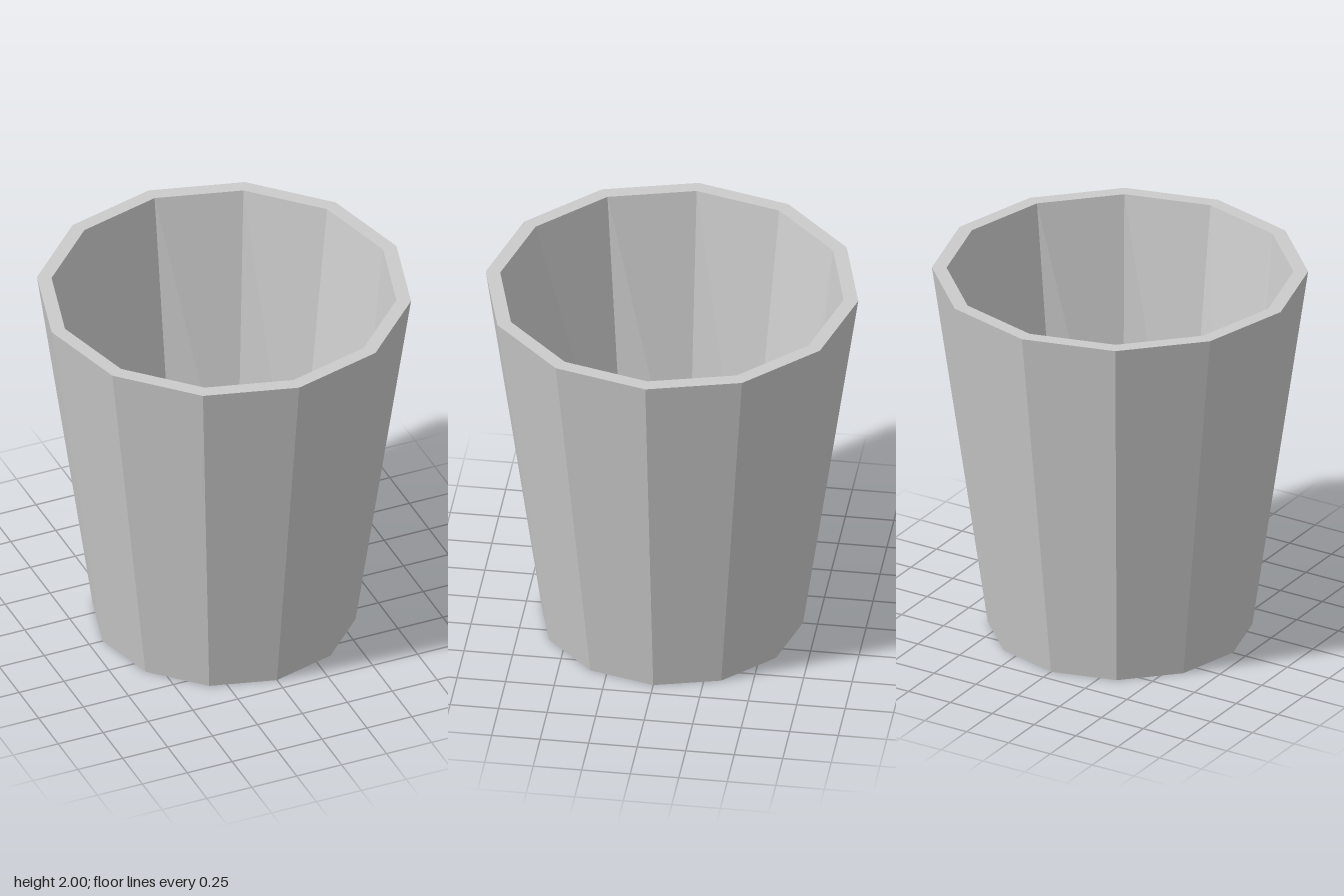
import * as THREE from 'three';

const SIDES = 12;

export function createModel() {
  const group = new THREE.Group();
  group.name = 'cup';

  // Section through the cup: underside, outer wall, rim, inner wall, floor
  const floorRing = 4;
  const profile = [[0, 0], [0.675, 0], [0.96, 2], [0.885, 2], [0.6, 0.075], [0, 0.075]]
    .map(([r, y]) => new THREE.Vector2(r, y));
  const lathe = new THREE.LatheGeometry(profile, SIDES);

  // The corners of the inner floor alternate between a wider and a narrower radius
  const pos = lathe.attributes.position;
  for (let i = 0; i <= SIDES; i++) {
    const a = (i / SIDES) * Math.PI * 2;
    const r = i % 2 ? 0.58 : 0.62;
    pos.setXYZ(i * profile.length + floorRing, r * Math.sin(a), 0.075, r * Math.cos(a));
  }

  // Separate faces for hard facets
  const geometry = lathe.toNonIndexed();
  geometry.computeVertexNormals();

  const body = new THREE.Mesh(
    geometry,
    new THREE.MeshStandardMaterial({ color: 0xcccccc, flatShading: true })
  );
  body.name = 'cupBody';
  group.add(body);
  return group;
}
